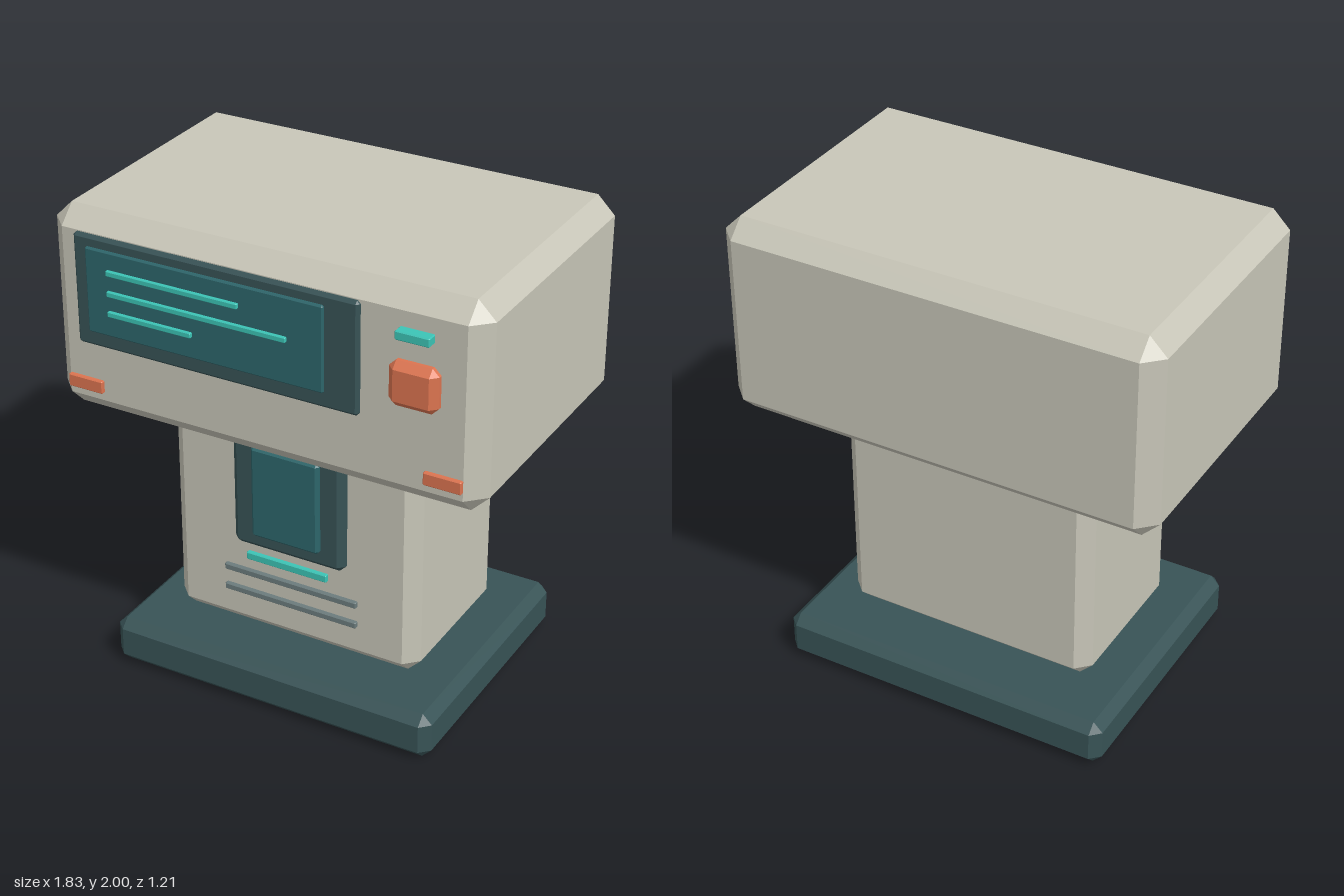
import * as THREE from 'three';
import { ConvexGeometry } from 'three/addons/geometries/ConvexGeometry.js';

const mat = (color) => new THREE.MeshStandardMaterial({ color, flatShading: true });

// Box with flat 45 degree bevels on every edge and corner
function chamferBox(w, h, d, c) {
  const half = [w / 2, h / 2, d / 2];
  const points = [];
  for (const sx of [-1, 1]) for (const sy of [-1, 1]) for (const sz of [-1, 1]) {
    for (let axis = 0; axis < 3; axis++) {
      // Each corner becomes three points, one on each adjoining face
      const p = half.map((v, i) => (i === axis ? v : v - c));
      points.push(new THREE.Vector3(p[0] * sx, p[1] * sy, p[2] * sz));
    }
  }
  return new ConvexGeometry(points);
}

export function createModel() {
  const model = new THREE.Group();
  model.name = 'computerTerminal';

  const shell = mat(0xc8c6b8);
  const dark = mat(0x385356);
  const glass = mat(0x2d666b);
  const cyan = mat(0x3cc4b6);
  const orange = mat(0xdc7450);
  const grey = mat(0x6c7c7d);

  // Adds a block spanning the given [min, max] ranges
  function block(name, material, [x0, x1], [y0, y1], [z0, z1], chamfer = 0, parent = model) {
    const w = x1 - x0, h = y1 - y0, d = z1 - z0;
    const geometry = chamfer ? chamferBox(w, h, d, chamfer) : new THREE.BoxGeometry(w, h, d);
    const mesh = new THREE.Mesh(geometry, material);
    mesh.name = name;
    mesh.position.set((x0 + x1) / 2, (y0 + y1) / 2, (z0 + z1) / 2);
    parent.add(mesh);
  }

  // Main body
  block('base', dark, [-0.717, 0.717], [0, 0.2], [-0.585, 0.545], 0.04);
  block('pedestal', shell, [-0.548, 0.548], [0.203, 1.185], [-0.367, 0.33], 0.056);
  block('head', shell, [-0.915, 0.915], [1.155, 2], [-0.603, 0.56], 0.073);

  // Main display with lines of readout
  const display = new THREE.Group();
  display.name = 'display';
  model.add(display);
  block('displayFrame', dark, [-0.785, 0.425], [1.465, 1.923], [0.53, 0.578], 0.012, display);
  block('displayScreen', glass, [-0.725, 0.288], [1.53, 1.88], [0.55, 0.59], 0.006, display);
  [[-0.06, 1.798], [0.14, 1.713], [-0.262, 1.63]].forEach(([end, y], i) =>
    block('readoutLine' + (i + 1), cyan, [-0.627, end], [y - 0.011, y + 0.011], [0.58, 0.603], 0.003, display));

  // Head controls and corner markers
  block('statusLight', cyan, [0.58, 0.717], [1.829, 1.865], [0.545, 0.603], 0.004);
  block('button', orange, [0.547, 0.746], [1.557, 1.738], [0.53, 0.603], 0.028);
  for (const [side, s] of [['left', 1], ['right', -1]]) {
    const x = 0.765 * s;
    block(side + 'Marker', orange, [x - 0.077, x + 0.077], [1.261, 1.314], [0.54, 0.577], 0.004);
  }

  // Pedestal panel
  block('panelFrame', dark, [-0.248, 0.248], [0.615, 1.17], [0.305, 0.368], 0.026);
  block('panelScreen', glass, [-0.15, 0.15], [0.685, 1.087], [0.345, 0.389], 0.012);

  // Light strip and vent bars set just off the pedestal face
  block('lightStrip', cyan, [-0.18, 0.18], [0.563, 0.597], [0.357, 0.378], 0.004);
  [0.48, 0.387].forEach((y, i) =>
    block('ventBar' + (i + 1), grey, [-0.298, 0.298], [y - 0.014, y + 0.014], [0.333, 0.354], 0.004));

  return model;
}
